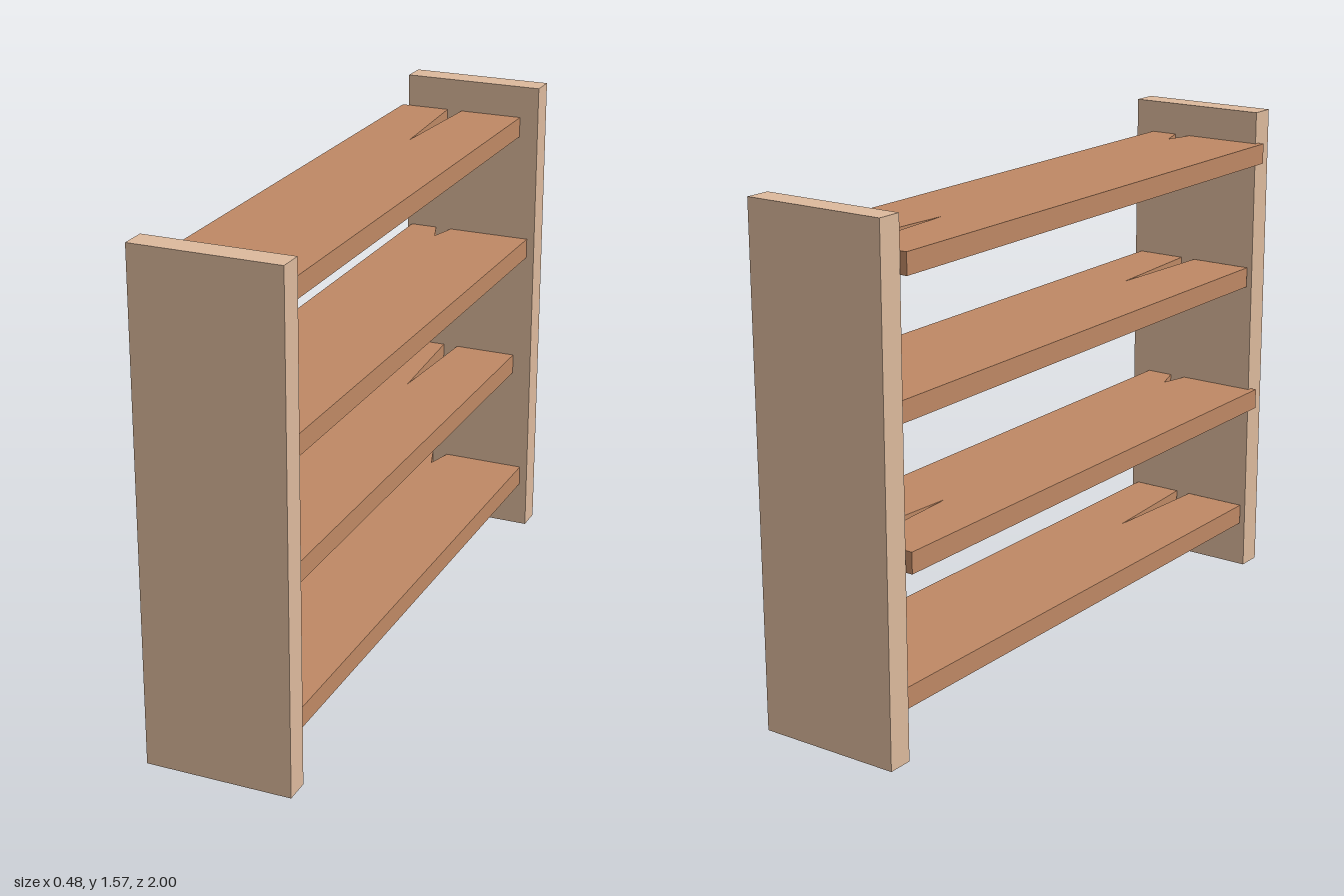
import * as THREE from 'three';

const panelMaterial = new THREE.MeshStandardMaterial({ color: 0xdcb99c });
const shelfMaterial = new THREE.MeshStandardMaterial({ color: 0xbe8864 });

// Plank outline in (x, z), with a long split at the back and a short one at the front
const HALF_WIDTH = 0.2075;
const HALF_LENGTH = 0.927;
const OUTLINE = [
  [-HALF_WIDTH, -HALF_LENGTH], [-0.047, -HALF_LENGTH], [-0.022, -0.54], [0.002, -HALF_LENGTH],
  [HALF_WIDTH, -HALF_LENGTH], [HALF_WIDTH, HALF_LENGTH],
  [0.125, HALF_LENGTH], [0.089, 0.82], [0.061, HALF_LENGTH], [-HALF_WIDTH, HALF_LENGTH],
];

function shelfGeometry() {
  const shape = new THREE.Shape(OUTLINE.map(([x, z]) => new THREE.Vector2(x, -z)));
  const geometry = new THREE.ExtrudeGeometry(shape, { depth: 0.065, bevelEnabled: false });
  return geometry.rotateX(-Math.PI / 2); // lay flat, thickness upwards
}

export function createModel() {
  const group = new THREE.Group();

  // Upright end panels
  for (const [name, side] of [['frontPanel', 1], ['backPanel', -1]]) {
    const panel = new THREE.Mesh(new THREE.BoxGeometry(0.456, 1.567, 0.08), panelMaterial);
    panel.position.set(0.008, 0.7835, side * 0.96);
    panel.name = name;
    group.add(panel);
  }

  // Split plank shelves, every second one turned end for end
  const geometry = shelfGeometry();
  [1.4, 0.985, 0.565, 0.15].forEach((y, i) => {
    const turned = i % 2 === 1;
    const shelf = new THREE.Mesh(geometry, shelfMaterial);
    shelf.position.set(turned ? 0.003 : -0.0325, y, turned ? -0.012 : 0.01);
    shelf.rotation.y = turned ? Math.PI : 0;
    shelf.name = `shelf${i + 1}`;
    group.add(shelf);
  });

  return group;
}
